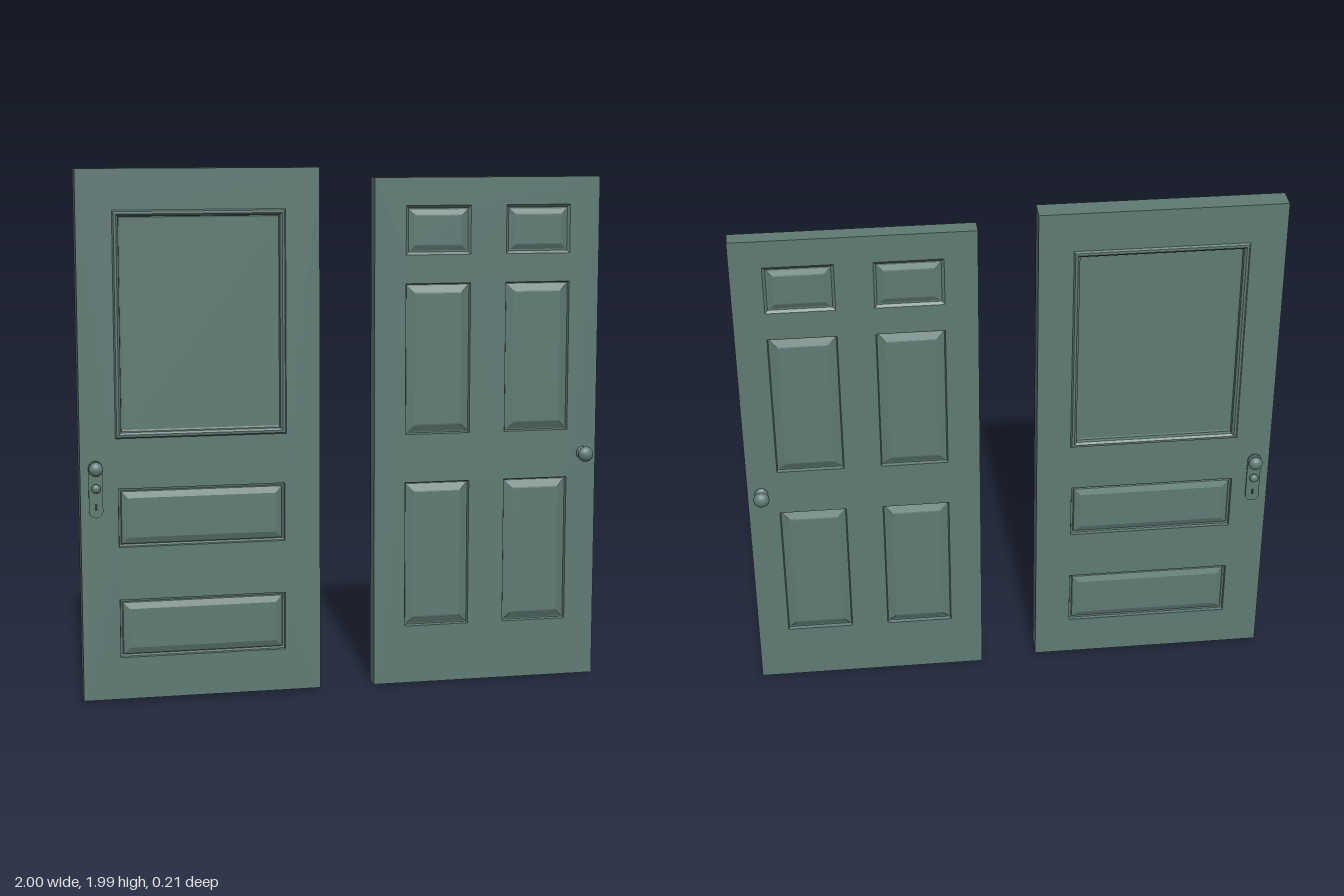
import * as THREE from 'three';

const paint = new THREE.MeshStandardMaterial({ color: 0x5f7a74, flatShading: true });
const smooth = new THREE.MeshStandardMaterial({ color: 0x5f7a74 });
const dark = new THREE.MeshStandardMaterial({ color: 0x26302e });

function add(parent, name, geometry, material) {
  const mesh = new THREE.Mesh(geometry, material);
  mesh.name = name;
  parent.add(mesh);
  return mesh;
}

// Rectangular panel face: nested rings of [inset, height], closed by a flat field
function panelGeometry([x0, x1, y0, y1], profile) {
  const pos = [], idx = [];
  profile.forEach(([i, z]) => pos.push(
    x0 + i, y0 + i, z, x1 - i, y0 + i, z, x1 - i, y1 - i, z, x0 + i, y1 - i, z));
  for (let r = 0; r < profile.length - 1; r++) {
    for (let k = 0; k < 4; k++) {
      const a = r * 4 + k, b = r * 4 + (k + 1) % 4;
      idx.push(a, b, b + 4, a, b + 4, a + 4);
    }
  }
  const c = (profile.length - 1) * 4;
  idx.push(c, c + 1, c + 2, c, c + 2, c + 3);
  const g = new THREE.BufferGeometry();
  g.setAttribute('position', new THREE.Float32BufferAttribute(pos, 3));
  g.setIndex(idx);
  const flat = g.toNonIndexed();
  flat.computeVertexNormals();
  return flat;
}

// Door slab with through openings; panels fill each opening on both faces
function makeDoor(name, [x0, x1, y0, y1], zBack, zFront, panels) {
  const door = new THREE.Group();
  door.name = name;
  const rect = (P, [a, b, c, d]) =>
    new P([[a, c], [b, c], [b, d], [a, d]].map(p => new THREE.Vector2(...p)));
  const shape = rect(THREE.Shape, [x0, x1, y0, y1]);
  panels.forEach(p => shape.holes.push(rect(THREE.Path, p.box)));
  const slab = new THREE.ExtrudeGeometry(shape, { depth: zFront - zBack, bevelEnabled: false });
  add(door, 'doorFrame', slab, paint).position.z = zBack;

  for (const { name: label, box, profile } of panels) {
    add(door, label + 'Front', panelGeometry(box, profile), paint).position.z = zFront;
    const [a, b, c, d] = box;
    const back = add(door, label + 'Back', panelGeometry([-b, -a, c, d], profile), paint);
    back.rotation.y = Math.PI;
    back.position.z = zBack;
  }
  return door;
}

// Calls build once per face, with local +z pointing out of the door
function bothFaces(door, name, x, y, zBack, zFront, build) {
  for (const [side, z, turn] of [['Front', zFront, 0], ['Back', zBack, Math.PI]]) {
    const g = new THREE.Group();
    g.name = name + side;
    g.position.set(x, y, z);
    g.rotation.y = turn;
    build(g);
    door.add(g);
  }
}

// Turned knob: base collar, neck and flattened ball
function knobGeometry(radius, length, collar) {
  const half = radius * 0.76, neck = radius * 0.4, mid = length - half;
  const pts = [[0, 0], [collar, 0], [collar, length * 0.08], [neck * 1.2, length * 0.16], [neck, length * 0.22]];
  const start = Math.asin(neck / radius);
  for (let i = 0; i <= 12; i++) {
    const t = Math.PI - start - (Math.PI - start) * i / 12;
    pts.push([Math.max(0, radius * Math.sin(t)), mid + half * Math.cos(t)]);
  }
  const g = new THREE.LatheGeometry(pts.map(p => new THREE.Vector2(...p)), 24);
  return g.rotateX(Math.PI / 2);
}

// Rounded plate outline between two heights
function capsule(r, y0, y1) {
  const s = new THREE.Shape();
  s.absarc(0, y1 - r, r, 0, Math.PI, false);
  s.absarc(0, y0 + r, r, Math.PI, 2 * Math.PI, false);
  s.closePath();
  return s;
}

export function createModel() {
  const model = new THREE.Group();
  model.name = 'pairOfDoors';

  // Panel mouldings
  const framed = [[0, 0], [0.005, 0.008], [0.014, 0.009], [0.022, 0.002], [0.024, -0.012], [0.03, -0.014]];
  const raised = [[0, 0], [0.002, -0.012], [0.009, -0.014], [0.012, -0.009], [0.036, 0]];
  const fielded = [[0, 0], [0.004, -0.012], [0.008, -0.012], [0.034, 0], [0.038, 0.001]];
  const shallow = [[0, 0], [0.01, -0.008], [0.016, -0.008], [0.034, 0], [0.038, 0.001]];

  // Three-panel door
  const zb = -0.03, zf = 0.056;
  const first = makeDoor('threePanelDoor', [-1, -0.1, 0.01, 1.985], zb, zf, [
    { name: 'largePanel', box: [-0.868, -0.228, 0.998, 1.835], profile: framed },
    { name: 'middlePanel', box: [-0.86, -0.235, 0.59, 0.81], profile: raised },
    { name: 'bottomPanel', box: [-0.86, -0.235, 0.17, 0.39], profile: raised },
  ]);
  bothFaces(first, 'lockSet', -0.943, 0, zb, zf, g => {
    const plate = new THREE.ExtrudeGeometry(capsule(0.026, 0.705, 0.918),
      { depth: 0.006, bevelEnabled: false, curveSegments: 12 });
    add(g, 'lockPlate', plate, smooth);
    add(g, 'doorKnob', knobGeometry(0.027, 0.045, 0.02), smooth).position.y = 0.89;
    add(g, 'latchKnob', knobGeometry(0.017, 0.031, 0.012), smooth).position.y = 0.817;
    add(g, 'keyhole', new THREE.ShapeGeometry(capsule(0.005, 0.733, 0.76)), dark).position.z = 0.0065;
  });
  model.add(first);

  // Six-panel door
  const sb = -0.043, sf = 0.022;
  const panels = [];
  for (const [side, a, b] of [['Right', 0.238, 0.49], ['Left', 0.629, 0.881]]) {
    panels.push(
      { name: 'topPanel' + side, box: [a, b, 1.655, 1.84], profile: shallow },
      { name: 'middlePanel' + side, box: [a, b, 0.973, 1.547], profile: fielded },
      { name: 'bottomPanel' + side, box: [a, b, 0.225, 0.787], profile: fielded });
  }
  const second = makeDoor('sixPanelDoor', [0.117, 0.997, 0, 1.945], sb, sf, panels);
  bothFaces(second, 'knobSet', 0.945, 0.88, sb, sf, g => {
    add(g, 'doorKnob', knobGeometry(0.03, 0.063, 0.025), smooth);
  });
  model.add(second);

  return model;
}
